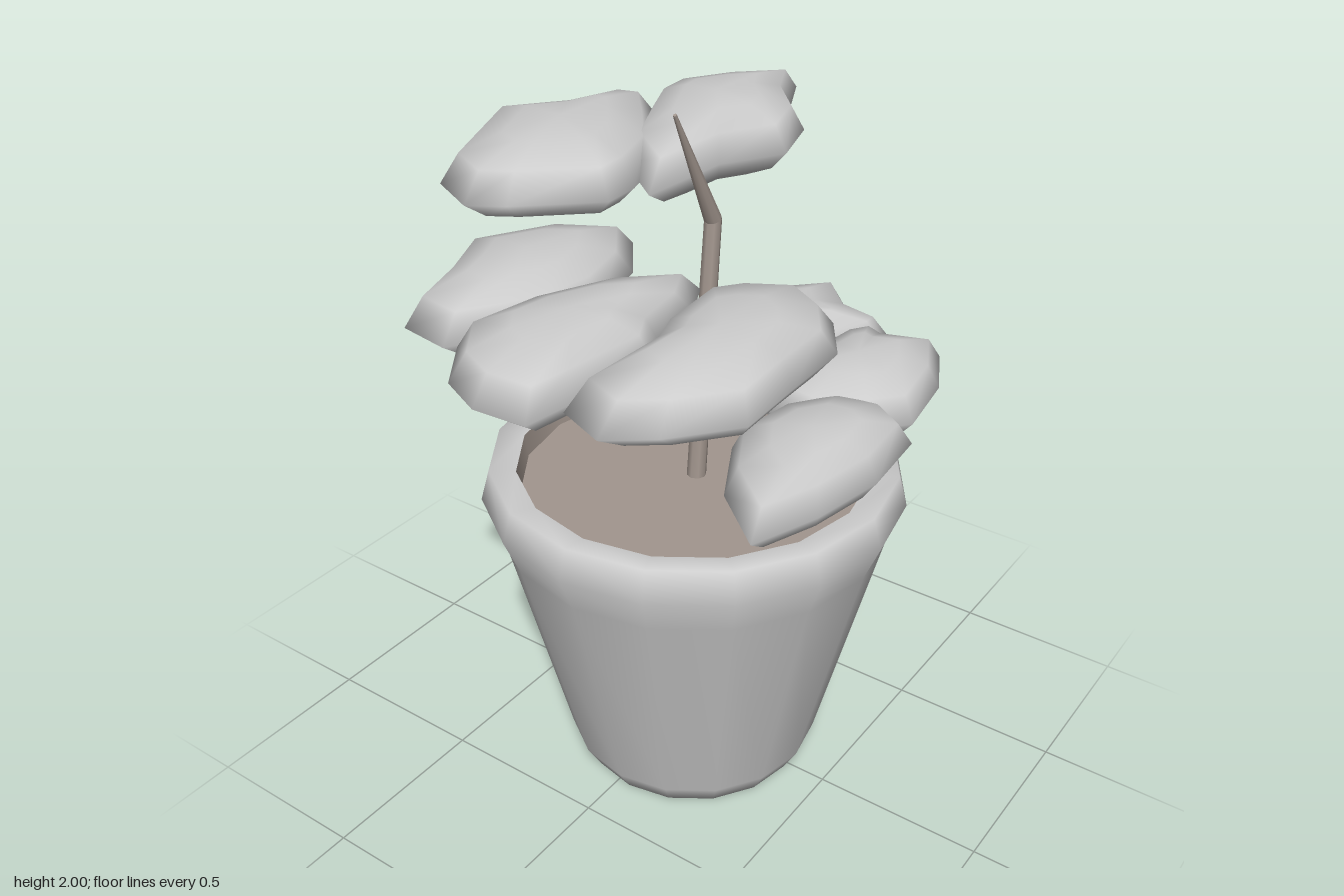
import * as THREE from 'three';
import { mergeVertices } from 'three/addons/utils/BufferGeometryUtils.js';

const CX = -0.02, CZ = 0.04; // pot axis

// Puffy leaf: an outline in x/z swept through shrinking rings above and below its rim
function leafGeometry(outline, y) {
  const n = outline.length;
  let area = 0, cx = 0, cz = 0;
  outline.forEach(([x, z], i) => {
    const [x2, z2] = outline[(i + 1) % n];
    const c = x * z2 - x2 * z;
    area += c / 2;
    cx += (x + x2) * c;
    cz += (z + z2) * c;
  });
  cx /= 6 * area;
  cz /= 6 * area;
  const pts = area > 0 ? outline : [...outline].reverse();
  const rings = [[0, -0.11], [0.45, -0.097], [0.8, -0.055], [1, 0], [0.84, 0.07], [0.48, 0.102], [0, 0.115]];
  const pos = [], index = [];
  for (const [s, h] of rings)
    for (const [x, z] of pts) pos.push(cx + (x - cx) * s, y + h, cz + (z - cz) * s);
  for (let r = 0; r < rings.length - 1; r++)
    for (let i = 0; i < n; i++) {
      const a = r * n + i, b = r * n + (i + 1) % n, c = a + n, d = b + n;
      if (r > 0) index.push(a, c, b);
      if (r < rings.length - 2) index.push(b, c, d);
      if (r === 0) continue;
    }
  const g = new THREE.BufferGeometry();
  g.setAttribute('position', new THREE.Float32BufferAttribute(pos, 3));
  g.setIndex(index);
  const merged = mergeVertices(g, 1e-5);
  merged.computeVertexNormals();
  return merged;
}

export function createModel() {
  const group = new THREE.Group();
  const pale = new THREE.MeshStandardMaterial({ color: 0xcccccc });
  pale.name = 'paleGrey';
  const brown = new THREE.MeshStandardMaterial({ color: 0xa2968e });
  brown.name = 'greyBrown';

  const add = (name, geometry, material, x = 0, y = 0, z = 0) => {
    const mesh = new THREE.Mesh(geometry, material);
    mesh.name = name;
    mesh.position.set(x, y, z);
    group.add(mesh);
    return mesh;
  };
  const lathe = (profile) => new THREE.LatheGeometry(profile.map(p => new THREE.Vector2(...p)), 16);

  // Pot with a rounded foot and rim
  add('pot', lathe([[0, 0], [0.335, 0], [0.375, 0.07], [0.555, 0.8], [0.6, 0.91], [0.575, 1], [0.5, 0.99]]), pale, CX, 0, CZ);

  // Inner wall and soil
  add('innerWall', lathe([[0.5, 0.99], [0.49, 0.92]]), brown, CX, 0, CZ);
  const soil = add('soil', new THREE.CircleGeometry(0.495, 16), brown, CX, 0.925, CZ);
  soil.rotation.x = -Math.PI / 2;

  // Bent, tapering stem
  const stem = (name, from, to, r0, r1) => {
    const a = new THREE.Vector3(...from), b = new THREE.Vector3(...to);
    const dir = b.clone().sub(a);
    const mesh = add(name, new THREE.CylinderGeometry(r1, r0, dir.length(), 8), brown);
    mesh.position.copy(a).lerp(b, 0.5);
    mesh.quaternion.setFromUnitVectors(new THREE.Vector3(0, 1, 0), dir.normalize());
  };
  const bend = [0.065, 1.67, 0.037];
  stem('lowerStem', [-0.012, 0.9, 0.04], bend, 0.028, 0.024);
  stem('upperStem', bend, [-0.103, 1.997, 0.036], 0.024, 0.005);
  add('stemBend', new THREE.SphereGeometry(0.024, 8, 6), brown, ...bend);

  // Upper leaves
  const leaf = (name, y, outline) => add(name, leafGeometry(outline, y), pale);
  leaf('upperBackLeaf', 1.795, [[0.015, -0.67], [0.19, -0.53], [0.37, -0.47], [0.39, -0.4], [0.25, -0.28],
    [0.06, -0.13], [-0.13, -0.07], [-0.24, -0.065], [-0.41, -0.25], [-0.465, -0.34], [-0.39, -0.49]]);
  leaf('upperSideLeaf', 1.795, [[-0.15, -0.01], [0, -0.2], [0.22, -0.31], [0.39, -0.39], [0.515, -0.4],
    [0.675, -0.305], [0.805, -0.17], [0.645, -0.09], [0.49, 0.05], [0.3, 0.11], [0.13, 0.01]]);

  // Middle leaves
  leaf('middleBackLeaf', 1.485, [[-0.185, -0.615], [-0.39, -0.52], [-0.6, -0.45], [-0.625, -0.295],
    [-0.5, -0.22], [-0.37, -0.15], [-0.2, -0.13], [0, -0.18], [0.16, -0.3], [0.06, -0.48]]);
  leaf('middleSideLeaf', 1.485, [[-0.6, -0.27], [-0.75, -0.16], [-0.81, -0.03], [-0.8, 0.12], [-0.66, 0.14],
    [-0.39, 0.175], [-0.29, 0.12], [-0.1, 0.09], [0.02, 0.03], [-0.12, -0.12], [-0.36, -0.23]]);
  leaf('middleFrontLeaf', 1.485, [[-0.755, 0.29], [-0.7, 0.15], [-0.39, 0.16], [-0.28, 0.12], [-0.03, 0.1],
    [0.05, 0.16], [0.125, 0.29], [0.05, 0.42], [-0.09, 0.515], [-0.3, 0.52], [-0.51, 0.53], [-0.67, 0.4]]);

  // Lower leaves
  leaf('lowerFrontLeaf', 1.175, [[-0.52, 0.55], [-0.33, 0.62], [-0.11, 0.66], [0.11, 0.64], [0.18, 0.53],
    [0.16, 0.4], [0.02, 0.3], [-0.18, 0.27], [-0.38, 0.38]]);
  leaf('lowerCornerLeaf', 1.175, [[0.2, 0.595], [0.42, 0.56], [0.59, 0.475], [0.535, 0.32], [0.56, 0.26],
    [0.5, 0.22], [0.33, 0.2], [0.15, 0.15], [0.04, 0.2], [0.02, 0.36], [0.1, 0.51]]);
  leaf('lowerSideLeaf', 1.175, [[0.77, 0.035], [0.65, -0.08], [0.5, -0.17], [0.36, -0.2], [0.18, -0.12],
    [0.03, 0.03], [0.06, 0.11], [0.2, 0.17], [0.33, 0.2], [0.565, 0.3], [0.61, 0.3], [0.64, 0.16]]);

  return group;
}
